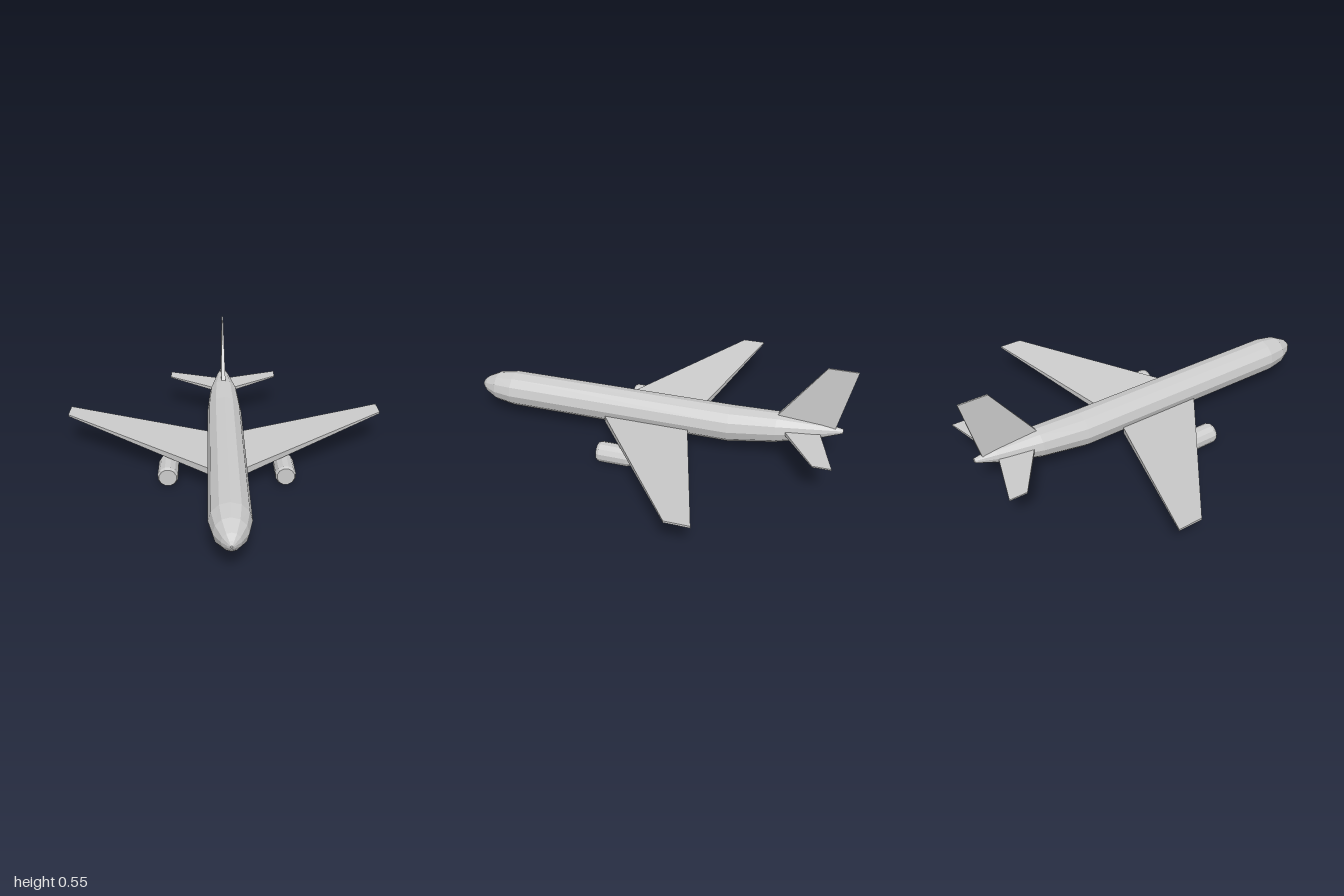
import * as THREE from 'three';

const material = new THREE.MeshStandardMaterial({ color: 0xcccccc, flatShading: true });

// Skin a row of rings (each counter-clockwise about the direction of travel) and cap both ends.
function loft(name, rings) {
  const n = rings[0].length;
  const index = [];
  for (let i = 0; i < rings.length - 1; i++) {
    for (let j = 0; j < n; j++) {
      const k = (j + 1) % n;
      const a = i * n + j, b = i * n + k, c = a + n, d = b + n;
      index.push(a, b, d, a, d, c);
    }
  }
  const last = (rings.length - 1) * n;
  for (let j = 1; j < n - 1; j++) {
    index.push(0, j + 1, j, last, last + j, last + j + 1);
  }
  const indexed = new THREE.BufferGeometry();
  indexed.setAttribute('position', new THREE.Float32BufferAttribute(rings.flat(2), 3));
  indexed.setIndex(index);
  const geometry = indexed.toNonIndexed();
  geometry.computeVertexNormals();
  const mesh = new THREE.Mesh(geometry, material);
  mesh.name = name;
  return mesh;
}

// Elliptical ring facing along z.
function ellipse(z, x, y, rx, ry, sides, turn = 0) {
  return Array.from({ length: sides }, (_, i) => {
    const t = ((i + turn) / sides) * Math.PI * 2;
    return [x + rx * Math.cos(t), y + ry * Math.sin(t), z];
  });
}

// Rectangular wing section at x; side is +1 for left and -1 for right.
function wingSection(side, { x, low, high, front, back }) {
  const ring = [[low, back], [high, back], [high, front], [low, front]]
    .map(([y, z]) => [side * x, y, z]);
  return side > 0 ? ring : ring.reverse();
}

// Rectangular fin section at height y.
function finSection(y, front, back, half) {
  return [[-half, y, back], [-half, y, front], [half, y, front], [half, y, back]];
}

export function createModel() {
  const airplane = new THREE.Group();
  airplane.name = 'airplane';

  // Fuselage stations from tail to nose: z, bottom, top, half width
  const stations = [
    [-0.965, 0.2, 0.222, 0.012],
    [-0.86, 0.158, 0.239, 0.038],
    [-0.64, 0.098, 0.256, 0.081],
    [-0.4, 0.06, 0.247, 0.097],
    [0.8, 0.06, 0.246, 0.097],
    [0.9, 0.074, 0.231, 0.078],
    [0.965, 0.107, 0.198, 0.044],
    [0.99, 0.13, 0.174, 0.02],
    [1, 0.147, 0.157, 0.005],
  ];
  airplane.add(loft('fuselage', stations.map(([z, low, high, rx]) =>
    ellipse(z, 0, (low + high) / 2, rx, (high - low) / 2, 12))));

  // Swept tail fin
  airplane.add(loft('tailFin', [
    finSection(0.215, -0.615, -0.925, 0.013),
    finSection(0.547, -0.855, -1, 0.004),
  ]));

  // Engine stations from exhaust to intake: z, radius
  const engine = [[-0.015, 0.036], [0.05, 0.053], [0.195, 0.053], [0.21, 0.045]];

  for (const side of [1, -1]) {
    const label = side > 0 ? 'left' : 'right';

    airplane.add(loft(label + 'Wing', [
      wingSection(side, { x: 0.09, low: 0.09, high: 0.125, front: 0.25, back: -0.2 }),
      wingSection(side, { x: 0.87, low: 0.178, high: 0.188, front: -0.3, back: -0.42 }),
    ]));

    airplane.add(loft(label + 'Tailplane', [
      wingSection(side, { x: 0.03, low: 0.174, high: 0.194, front: -0.665, back: -0.857 }),
      wingSection(side, { x: 0.322, low: 0.197, high: 0.204, front: -0.853, back: -0.942 }),
    ]));

    airplane.add(loft(label + 'Engine', engine.map(([z, r]) =>
      ellipse(z, side * 0.298, 0.053, r, r, 12, 0.5))));
  }

  return airplane;
}
